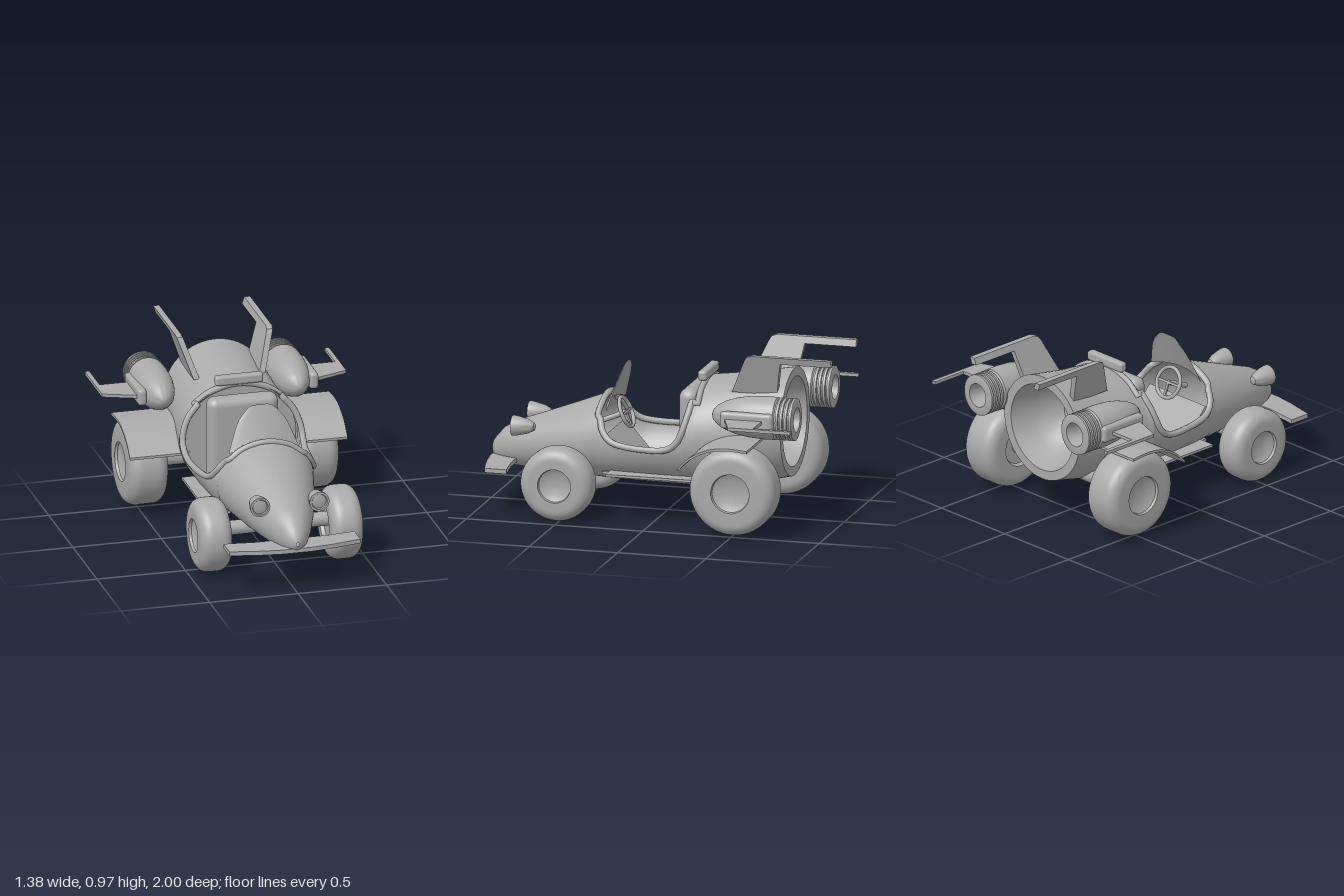
import * as THREE from 'three';
import { toCreasedNormals } from 'three/addons/utils/BufferGeometryUtils.js';
import { RoundedBoxGeometry } from 'three/addons/geometries/RoundedBoxGeometry.js';

const grey = new THREE.MeshStandardMaterial({ color: 0xaaaaaa, side: THREE.DoubleSide });
grey.name = 'grey';

// Hull stations: z, half width, bottom, top
const STATIONS = [
  [0.995, 0.008, 0.28, 0.3], [0.985, 0.03, 0.255, 0.33], [0.965, 0.05, 0.235, 0.36], [0.92, 0.082, 0.213, 0.41],
  [0.85, 0.115, 0.2, 0.45], [0.7, 0.17, 0.193, 0.505], [0.5, 0.23, 0.183, 0.58],
  [0.335, 0.27, 0.176, 0.645], [0.2, 0.305, 0.172, 0.68], [0, 0.33, 0.17, 0.73],
  [-0.2, 0.34, 0.168, 0.772], [-0.3, 0.328, 0.172, 0.785], [-0.45, 0.312, 0.19, 0.805], [-0.72, 0.295, 0.25, 0.853],
];
// Cockpit edge: z, height
const CUT = [
  [0.335, 1], [0.33, 0.61], [0.32, 0.55], [0.3, 0.5], [0.27, 0.46], [0.23, 0.435], [0.15, 0.42], [0.03, 0.415],
  [-0.06, 0.42], [-0.11, 0.44], [-0.15, 0.48], [-0.175, 0.54], [-0.195, 0.62], [-0.21, 0.69], [-0.22, 0.74], [-0.235, 1],
];

function lookup(table, z) {
  let i = 0;
  while (i < table.length - 2 && z < table[i + 1][0]) i++;
  const a = table[i], b = table[i + 1], t = (z - a[0]) / (b[0] - a[0]);
  return a.map((v, k) => v + (b[k] - v) * t);
}

// Ellipse at z, with the angle at which its sides end
function section(z) {
  const [, a, lo, hi] = lookup(STATIONS, z);
  const cy = (lo + hi) / 2, b = (hi - lo) / 2;
  const open = z <= 0.335 && z >= -0.235;
  const end = open ? Math.asin(Math.min(1, (lookup(CUT, z)[1] - cy) / b)) : Math.PI / 2;
  return { end, at: (p) => new THREE.Vector3(a * Math.cos(p), cy + b * Math.sin(p), z) };
}

function grid(rows) {
  const n = rows[0].length, pos = [], idx = [];
  rows.forEach((row) => row.forEach((p) => pos.push(p.x, p.y, p.z)));
  for (let i = 0; i < rows.length - 1; i++) for (let j = 0; j < n - 1; j++) {
    const a = i * n + j, b = a + n;
    idx.push(a, a + 1, b, a + 1, b + 1, b);
  }
  const g = new THREE.BufferGeometry();
  g.setAttribute('position', new THREE.Float32BufferAttribute(pos, 3));
  g.setIndex(idx);
  g.computeVertexNormals();
  return g;
}

function hullGeometry() {
  const zs = [...new Set([...STATIONS, ...CUT].map((s) => s[0]))].sort((a, b) => b - a);
  return grid(zs.map((z) => {
    const s = section(z), row = [];
    for (let j = 0; j <= 56; j++) row.push(s.at(s.end + (-Math.PI - 2 * s.end) * (j / 56)));
    return row;
  }));
}

const lathe = (pts, seg = 40, crease = 0.6) =>
  toCreasedNormals(new THREE.LatheGeometry(pts.map(([r, y]) => new THREE.Vector2(r, y)), seg), crease);
const latheZ = (pts, seg) => lathe(pts, seg).rotateX(Math.PI / 2);

function plate(pts, depth) {
  const shape = new THREE.Shape(pts.map(([x, y]) => new THREE.Vector2(x, y)));
  return new THREE.ExtrudeGeometry(shape, { depth, bevelEnabled: false }).translate(0, 0, -depth / 2);
}
const flatPlate = (pts, depth) => plate(pts, depth).rotateX(Math.PI / 2); // points are x, z
const sidePlate = (pts, depth) => plate(pts, depth).rotateY(-Math.PI / 2); // points are z, y

// Tyre with rounded shoulders and a dished hub, turned about x
function wheelGeometry(r, w, hub) {
  const h = w / 2, c = 0.065, pts = [[0.001, -h + 0.02], [hub, -h + 0.02], [hub * 1.1, -h]];
  for (let i = 0; i <= 8; i++) {
    const t = (i / 8) * Math.PI / 2;
    pts.push([r - c + c * Math.sin(t), -h + c - c * Math.cos(t)]);
  }
  const outer = pts.slice(3).reverse().map(([x, y]) => [x, -y]);
  pts.push(...outer, [hub * 1.04, h], [hub, h - 0.015], [hub * 0.6, h - 0.035], [0.001, h - 0.035]);
  return lathe(pts, 48).rotateZ(-Math.PI / 2);
}

function mirrored(g) {
  const m = g.index ? g.toNonIndexed() : g.clone();
  m.scale(-1, 1, 1);
  const idx = [];
  for (let i = 0; i < m.attributes.position.count; i += 3) idx.push(i, i + 2, i + 1);
  m.setIndex(idx);
  return m;
}

export function createModel() {
  const model = new THREE.Group();
  model.name = 'rocketCar';
  const add = (name, g, x = 0, y = 0, z = 0) => {
    g.translate(x, y, z);
    const mesh = new THREE.Mesh(g, grey);
    mesh.name = name;
    model.add(mesh);
  };
  const pair = (name, g, x = 0, y = 0, z = 0) => {
    add(name + 'Left', g, x, y, z);
    add(name + 'Right', mirrored(g));
  };

  // Hull and cockpit rim
  add('hull', hullGeometry());
  const side = CUT.map(([z]) => { const s = section(z); return s.at(s.end); });
  const over = (z) => [0.7, 1.05, Math.PI / 2].map((p) => section(z).at(p));
  const half = [...over(0.336).reverse(), ...side.slice(2, -2), ...over(-0.236)];
  const loop = [...half, ...half.slice(1, -1).reverse().map((p) => new THREE.Vector3(-p.x, p.y, p.z))];
  add('cockpitRim', new THREE.TubeGeometry(new THREE.CatmullRomCurve3(loop, true), 160, 0.018, 8, true));
  add('headrestLip', new RoundedBoxGeometry(0.27, 0.055, 0.05, 3, 0.015), 0, 0.803, -0.23);

  // Cockpit interior
  add('bulkhead', new THREE.CircleGeometry(1, 40).scale(0.325, 0.295, 1), 0, 0.47, -0.235);
  add('floor', new THREE.BoxGeometry(0.44, 0.015, 0.52), 0, 0.245, 0.05);
  add('footPanel', new THREE.BoxGeometry(0.44, 0.015, 0.27).rotateX(-0.85), 0, 0.34, 0.22);
  add('seat', new RoundedBoxGeometry(0.4, 0.5, 0.11, 5, 0.05), 0, 0.485, -0.165);

  // Steering wheel with spokes and column
  const wheelTilt = (g) => g.rotateX(0.4);
  add('steeringWheel', wheelTilt(new THREE.TorusGeometry(0.085, 0.011, 10, 36)), 0, 0.54, 0.235);
  for (let i = 0; i < 3; i++) {
    const spoke = new THREE.BoxGeometry(0.014, 0.085, 0.01).translate(0, 0.042, 0).rotateZ(Math.PI / 2 + i * Math.PI / 2);
    add('steeringSpoke', wheelTilt(spoke), 0, 0.54, 0.235);
  }
  add('steeringColumn', wheelTilt(new THREE.CylinderGeometry(0.015, 0.015, 0.14, 12).rotateX(Math.PI / 2).translate(0, 0, 0.07)), 0, 0.54, 0.235);

  // Curved windscreen
  const screen = [];
  for (let i = 0; i <= 12; i++) {
    const v = i / 12, w = 0.2 - 0.08 * v - 0.03 * v ** 6, row = [];
    for (let j = -10; j <= 10; j++) {
      const u = j / 10;
      row.push(new THREE.Vector3(u * w, 0.61 + v * (0.215 - 0.035 * u ** 4) - 0.03 * u * u * (1 - v), 0.325 - 0.095 * v - 0.03 * u * u * (1 - v)));
    }
    screen.push(row);
  }
  add('windscreen', grid(screen));

  // Tail nozzle with ring face and funnel
  const funnel = [[0.303, 0], [0.25, 0], [0.238, 0.05], [0.215, 0.13], [0.18, 0.22], [0.12, 0.28], [0.001, 0.3]];
  add('tailNozzle', latheZ(funnel, 56).scale(0.295 / 0.303, 0.995, 1), 0, 0.5515, -0.72);

  // Nose wing and side steps
  const wing = [[-0.37, 0.81], [-0.2, 0.83], [0.2, 0.83], [0.37, 0.81], [0.37, 0.935], [0.2, 0.97], [0.08, 0.985], [-0.08, 0.985], [-0.2, 0.97], [-0.37, 0.935]];
  add('noseWing', flatPlate(wing, 0.024), 0, 0.25, 0);
  pair('sideStep', new THREE.BoxGeometry(0.12, 0.014, 0.48), 0.265, 0.257, 0.02);

  // Headlights
  const lamp = [[0.001, -0.065], [0.022, -0.055], [0.04, -0.02], [0.052, 0.03], [0.056, 0.055], [0.056, 0.067], [0.044, 0.067], [0.04, 0.06], [0.001, 0.07]];
  pair('headlight', latheZ(lamp, 28), 0.167, 0.462, 0.765);

  // Wheels and axles
  pair('frontWheel', wheelGeometry(0.205, 0.18, 0.09), 0.37, 0.21, 0.515);
  pair('rearWheel', wheelGeometry(0.243, 0.22, 0.105), 0.482, 0.27, -0.52);
  add('frontAxle', new THREE.CylinderGeometry(0.04, 0.04, 0.62, 20).rotateZ(Math.PI / 2), 0, 0.235, 0.515);
  add('rearAxle', new THREE.CylinderGeometry(0.05, 0.05, 0.8, 20).rotateZ(Math.PI / 2), 0, 0.275, -0.52);

  // Rear fenders
  const arc = new THREE.SplineCurve([[-0.23, 0.4], [-0.3, 0.467], [-0.4, 0.515], [-0.5, 0.53], [-0.62, 0.522]]
    .map(([z, y]) => new THREE.Vector2(z, y))).getPoints(18).map((p) => [p.x, p.y]);
  const fender = sidePlate([...arc, ...arc.slice().reverse().map(([z, y]) => [z, y - 0.014])], 0.34);
  pair('rearFender', toCreasedNormals(fender, 0.6), 0.445, 0, 0);

  // Booster pods with ribbed hollow nozzles
  const pod = [[0.001, -0.69], [0.045, -0.71], [0.068, -0.84], [0.105, -0.84]];
  for (let i = 0; i < 4; i++) {
    const z = -0.835 + i * 0.025;
    pod.push([0.117, z], [0.117, z + 0.014], [0.107, z + 0.016], [0.107, z + 0.023]);
  }
  pod.push([0.118, -0.73], [0.119, -0.65], [0.113, -0.57], [0.1, -0.5], [0.08, -0.44], [0.055, -0.395], [0.03, -0.37], [0.001, -0.36]);
  pair('booster', latheZ(pod, 40).scale(0.94, 1, 1), 0.382, 0.66, 0);
  pair('wingRoot', new RoundedBoxGeometry(0.05, 0.095, 0.3, 3, 0.02), 0.485, 0.66, -0.585);
  const podWing = [[0.48, -0.455], [0.69, -0.535], [0.69, -0.89], [0.665, -0.89], [0.665, -0.675], [0.48, -0.675]];
  pair('boosterWing', flatPlate(podWing, 0.018), 0, 0.66, 0);

  // Leaning tail fins
  const outline = [[-0.42, 0.745], [-0.505, 0.935], [-0.52, 0.96], [-0.55, 0.97], [-1, 0.97], [-1, 0.932], [-0.71, 0.932], [-0.68, 0.77], [-0.68, 0.745]];
  const fin = sidePlate(outline, 0.034);
  const lean = new THREE.Matrix4().makeShear(0, 0, 0, 0, 0, 0);
  lean.elements[4] = 0.32; // x follows y
  pair('tailFin', fin.translate(0, -0.745, 0).applyMatrix4(lean), 0.185, 0.745, 0);

  return model;
}
